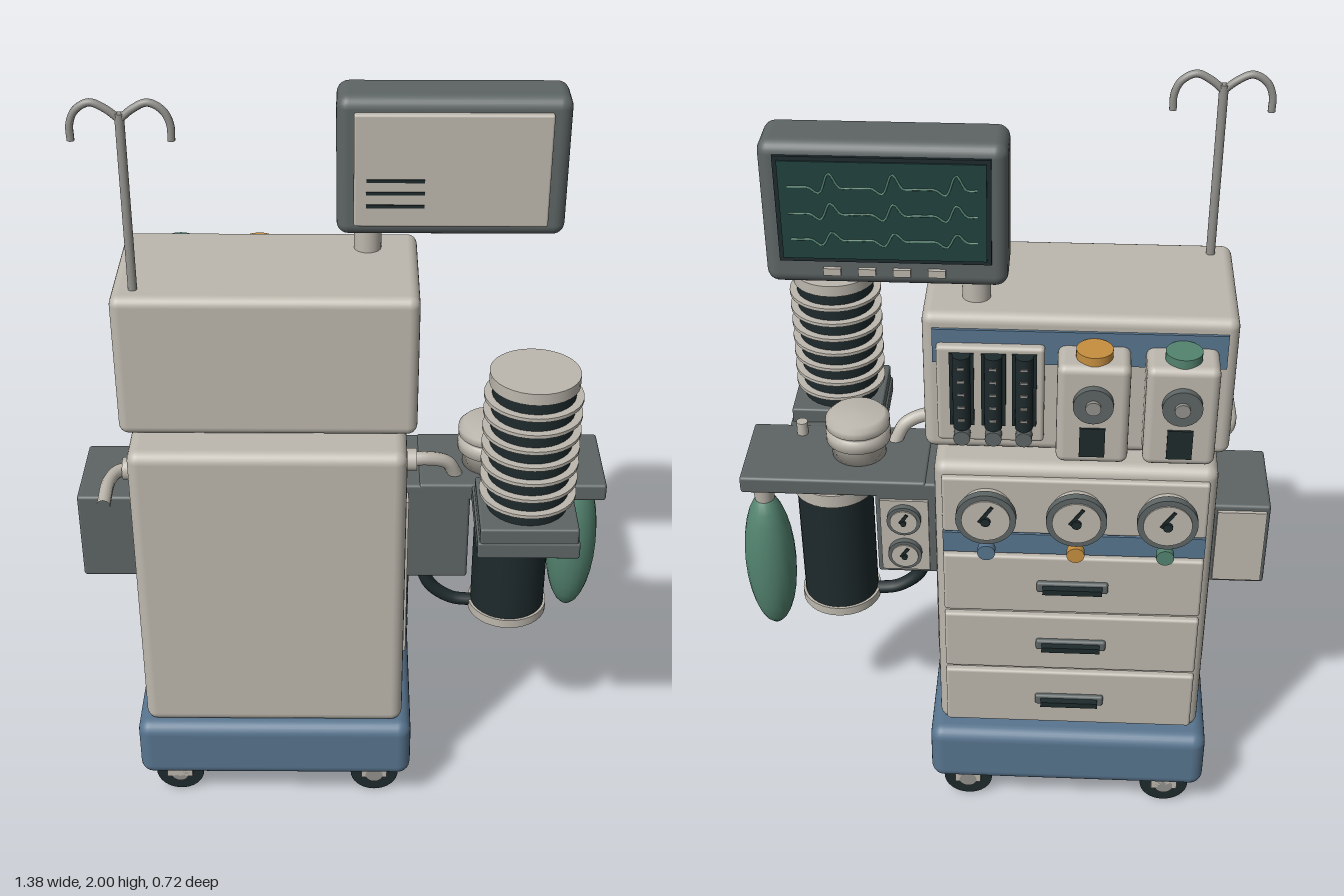
import * as THREE from 'three';
import { RoundedBoxGeometry } from 'three/addons/geometries/RoundedBoxGeometry.js';

const mat = (name, color) => Object.assign(new THREE.MeshStandardMaterial({ color }), { name });

export function createModel() {
  const root = new THREE.Group();
  root.name = 'anaesthesiaMachine';
  const M = {
    beige: mat('warm beige', 0xbdb8ae),
    blue: mat('steel blue', 0x58758f),
    grey: mat('dark grey', 0x5e6565),
    black: mat('rubber black', 0x1e2a2c),
    green: mat('sage green', 0x53836f),
    orange: mat('amber', 0xc68f3f),
    screen: mat('screen teal', 0x21423f),
    metal: mat('metal grey', 0x92918c),
  };

  const add = (name, geo, m, x = 0, y = 0, z = 0) => {
    const mesh = new THREE.Mesh(geo, m);
    mesh.name = name;
    mesh.position.set(x, y, z);
    root.add(mesh);
    return mesh;
  };
  // Box given by its extents, rounded when r > 0
  const box = (name, m, [x0, x1], [y0, y1], [z0, z1], r = 0) => {
    const w = x1 - x0, h = y1 - y0, d = z1 - z0;
    const geo = r ? new RoundedBoxGeometry(w, h, d, 3, r) : new THREE.BoxGeometry(w, h, d);
    return add(name, geo, m, (x0 + x1) / 2, (y0 + y1) / 2, (z0 + z1) / 2);
  };
  // Cylinder centred on a point, lying along the given axis
  const cyl = (name, m, r, len, x, y, z, axis = 'y', r2 = r) => {
    const geo = new THREE.CylinderGeometry(r, r2, len, 32);
    if (axis === 'z') geo.rotateX(Math.PI / 2);
    if (axis === 'x') geo.rotateZ(Math.PI / 2);
    return add(name, geo, m, x, y, z);
  };
  const tube = (name, m, r, pts, seg = 32) => {
    const curve = new THREE.CatmullRomCurve3(pts.map(p => new THREE.Vector3(...p)));
    return add(name, new THREE.TubeGeometry(curve, seg, r, 10), m);
  };
  const ball = (name, m, r, x, y, z) => add(name, new THREE.SphereGeometry(r, 20, 14), m, x, y, z);
  // Round dial facing -z, starting at depth z
  const gauge = (name, r, x, y, z, depth) => {
    cyl(name + 'Housing', M.beige, r * 0.85, depth, x, y, z - depth / 2, 'z');
    cyl(name + 'Bezel', M.grey, r, 0.02, x, y, z - depth, 'z');
    cyl(name + 'Face', M.beige, r * 0.8, 0.006, x, y, z - depth - 0.011, 'z');
    cyl(name + 'Hub', M.black, r * 0.16, 0.016, x, y, z - depth - 0.014, 'z');
    const needle = box(name + 'Needle', M.black, [x - 0.004, x + 0.004], [y - r * 0.1, y + r * 0.65],
      [z - depth - 0.018, z - depth - 0.013]);
    needle.rotation.z = 0.6;
  };

  // Main housing
  box('base', M.blue, [-0.56, 0.18], [0.11, 0.29], [-0.34, 0.27], 0.035);
  box('cabinet', M.beige, [-0.535, 0.155], [0.285, 1.145], [-0.29, 0.245], 0.03);
  box('upperCabinet', M.beige, [-0.56, 0.18], [1.145, 1.525], [-0.225, 0.155], 0.025);

  // Casters
  for (const x of [-0.46, 0.083]) for (const z of [-0.26, 0.18]) {
    cyl('casterWheel', M.black, 0.066, 0.042, x, 0.066, z, 'z');
    cyl('casterAxle', M.metal, 0.024, 0.072, x, 0.066, z, 'z');
    cyl('casterStem', M.metal, 0.02, 0.03, x, 0.125, z);
    for (const s of [-1, 1])
      box('casterFork', M.beige, [x - 0.035, x + 0.035], [0.058, 0.12],
        [z + s * 0.03 - 0.006, z + s * 0.03 + 0.006]);
  }

  // Drawers with pulls
  for (let i = 0; i < 3; i++) {
    const y = 0.4 + i * 0.194;
    box('drawer', M.beige, [-0.515, 0.135], [y - 0.09, y + 0.09], [-0.307, -0.28], 0.008);
    box('drawerPull', M.grey, [-0.28, -0.1], [y - 0.016, y + 0.016], [-0.318, -0.3], 0.007);
    box('drawerPullLip', M.black, [-0.265, -0.115], [y - 0.008, y + 0.008], [-0.335, -0.315]);
  }

  // Gauge row and coloured valve knobs
  box('valveStrip', M.blue, [-0.515, 0.135], [0.885, 0.945], [-0.3, -0.28]);
  box('gaugePanel', M.beige, [-0.515, 0.135], [0.95, 1.115], [-0.305, -0.28], 0.008);
  [[-0.415, M.green], [-0.195, M.orange], [0.025, M.blue]].forEach(([x, m]) => {
    gauge('pressureGauge', 0.074, x, 1.025, -0.305, 0.035);
    cyl('valveStem', M.metal, 0.01, 0.03, x, 0.915, -0.31, 'z');
    cyl('valveKnob', m, 0.022, 0.022, x, 0.915, -0.33, 'z');
  });

  // Vented side panels
  for (const [face, s] of [[0.155, 1], [-0.535, -1]]) {
    const span = (a, b) => [face + s * a, face + s * b].sort((p, q) => p - q);
    box('sidePanel', M.beige, span(-0.01, 0.008), [0.465, 0.95], [-0.195, 0.155]);
    for (let i = 0; i < 5; i++) {
      const y = 0.5 + i * 0.037;
      box('ventSlot', M.black, span(0, 0.015), [y - 0.007, y + 0.007], [-0.12, 0.08]);
    }
  }

  // Flowmeter bank
  box('blueBand', M.blue, [-0.535, 0.155], [1.4, 1.49], [-0.232, -0.215]);
  box('flowmeterBlock', M.beige, [-0.11, 0.145], [1.19, 1.455], [-0.252, -0.215], 0.01);
  for (const x of [-0.063, 0.01, 0.085]) {
    box('flowTubeBack', M.black, [x - 0.029, x + 0.029], [1.24, 1.44], [-0.257, -0.25]);
    cyl('flowTube', M.black, 0.021, 0.2, x, 1.34, -0.262);
    for (let i = 0; i < 5; i++)
      box('flowMark', M.metal, [x - 0.009, x + 0.009], [1.268 + i * 0.036, 1.274 + i * 0.036], [-0.286, -0.28]);
    cyl('flowKnob', M.grey, 0.02, 0.03, x, 1.215, -0.265, 'z');
  }

  // Vaporizers with a top dial, a front dial and a sight window
  for (const [x, m] of [[-0.43, M.green], [-0.225, M.orange]]) {
    box('vaporizer', M.beige, [x - 0.085, x + 0.085], [1.185, 1.455], [-0.328, -0.215], 0.02);
    cyl('vaporizerCap', m, 0.043, 0.025, x, 1.463, -0.275);
    cyl('vaporizerDial', M.grey, 0.047, 0.022, x, 1.36, -0.335, 'z');
    cyl('vaporizerDialHub', M.metal, 0.018, 0.012, x, 1.36, -0.349, 'z');
    box('sightWindow', M.black, [x - 0.03, x + 0.03], [1.21, 1.29], [-0.333, -0.325]);
  }

  // Monitor
  cyl('monitorPost', M.beige, 0.034, 0.08, 0.055, 1.56, -0.132);
  box('monitorCase', M.grey, [-0.022, 0.535], [1.585, 1.94], [-0.207, -0.062], 0.03);
  box('monitorBackPlate', M.beige, [0.02, 0.49], [1.62, 1.905], [-0.07, -0.045], 0.006);
  for (const y of [1.74, 1.708, 1.675])
    box('monitorVent', M.black, [0.05, 0.19], [y - 0.004, y + 0.004], [-0.046, -0.042]);
  box('screenFrame', M.black, [0.015, 0.498], [1.652, 1.912], [-0.214, -0.2]);
  box('screen', M.screen, [0.025, 0.488], [1.662, 1.902], [-0.218, -0.21]);
  [1.84, 1.775, 1.71].forEach((y, k) => {
    const pts = Array.from({ length: 19 }, (_, i) =>
      [0.045 + i * 0.0235, y + (i % 6 === 2 ? 0.035 - k * 0.008 : i % 6 === 3 ? -0.014 : 0), -0.218]);
    tube('screenTrace', M.green, 0.0025, pts, 72);
  });
  for (let i = 0; i < 4; i++)
    box('monitorButton', M.beige, [0.12 + i * 0.08, 0.16 + i * 0.08], [1.617, 1.635], [-0.217, -0.2]);

  // Infusion pole with two hooks
  cyl('infusionPole', M.metal, 0.011, 0.45, -0.505, 1.74, 0.1);
  for (const s of [-1, 1])
    tube('poleHook', M.metal, 0.009, [[0, 1.95], [0.03, 1.975], [0.065, 1.99], [0.098, 1.972], [0.113, 1.94], [0.114, 1.9]]
      .map(([x, y]) => [-0.505 + s * x, y, 0.1]));

  // Side handle and accessory box
  cyl('handleCollar', M.beige, 0.029, 0.035, -0.55, 1.0, 0.08, 'x');
  tube('handle', M.beige, 0.017, [[-0.54, 1, 0.08], [-0.575, 1, 0.09], [-0.595, 1, 0.13], [-0.597, 1, 0.25]]);
  box('accessoryBox', M.grey, [-0.69, -0.53], [0.68, 0.93], [-0.14, 0.11], 0.008);
  box('accessoryPlate', M.beige, [-0.68, -0.555], [0.695, 0.915], [-0.15, -0.135]);

  // Breathing arm and shelf
  box('armBox', M.grey, [0.15, 0.322], [0.68, 0.97], [-0.14, 0.11], 0.008);
  box('armPlate', M.beige, [0.185, 0.31], [0.695, 0.92], [-0.147, -0.135]);
  for (const y of [0.865, 0.755]) gauge('armGauge', 0.044, 0.248, y, -0.145, 0.008);
  box('shelf', M.grey, [0.19, 0.67], [0.925, 0.973], [-0.14, 0.11], 0.008);
  box('bellowsShelf', M.grey, [0.325, 0.575], [0.925, 0.97], [0.08, 0.36], 0.006);
  box('bellowsPlinth', M.grey, [0.33, 0.57], [0.965, 1.01], [0.125, 0.358], 0.006);
  cyl('shelfPeg', M.beige, 0.015, 0.04, 0.535, 0.99, 0.07);

  // Bellows
  cyl('bellowsCore', M.black, 0.1, 0.36, 0.45, 1.18, 0.24);
  for (let i = 0; i < 7; i++) cyl('bellowsRing', M.beige, 0.119, 0.009, 0.45, 1.048 + i * 0.0455, 0.24);
  cyl('bellowsCap', M.beige, 0.108, 0.03, 0.45, 1.37, 0.24);

  // Valve dome on the shelf, built from stacked rounded layers
  const dome = [[0, 0], [0.07, 0], [0.07, 0.045], [0.084, 0.05], [0.084, 0.075], [0.074, 0.08], [0.074, 0.087],
    [0.083, 0.092], [0.083, 0.112], [0.07, 0.125], [0, 0.127]].map(p => new THREE.Vector2(...p));
  add('valveDome', new THREE.LatheGeometry(dome, 32), M.beige, 0.375, 0.97, -0.005);

  // Absorber canister below the shelf
  cyl('absorberNeck', M.grey, 0.085, 0.03, 0.445, 0.915, -0.01);
  cyl('absorberTop', M.beige, 0.108, 0.038, 0.445, 0.887, -0.01);
  cyl('absorberBody', M.black, 0.1, 0.36, 0.445, 0.695, -0.01);
  cyl('absorberBottom', M.beige, 0.107, 0.025, 0.445, 0.51, -0.01);

  // Hoses
  cyl('hoseCollar', M.beige, 0.029, 0.03, 0.168, 1.035, 0.085, 'x');
  tube('gasHose', M.beige, 0.018, [[0.16, 1.035, 0.085], [0.21, 1.035, 0.08], [0.26, 1.015, 0.065], [0.29, 0.96, 0.05]]);
  tube('drainHose', M.black, 0.018,
    [[0.36, 0.512, -0.01], [0.29, 0.522, -0.01], [0.23, 0.57, -0.01], [0.21, 0.64, -0.01], [0.225, 0.7, -0.01]]);

  // Breathing bag
  cyl('bagNeck', M.beige, 0.032, 0.06, 0.62, 0.9, -0.085, 'y', 0.025);
  ball('breathingBag', M.green, 1, 0.62, 0.668, -0.085).scale.set(0.068, 0.22, 0.068);

  return root;
}
